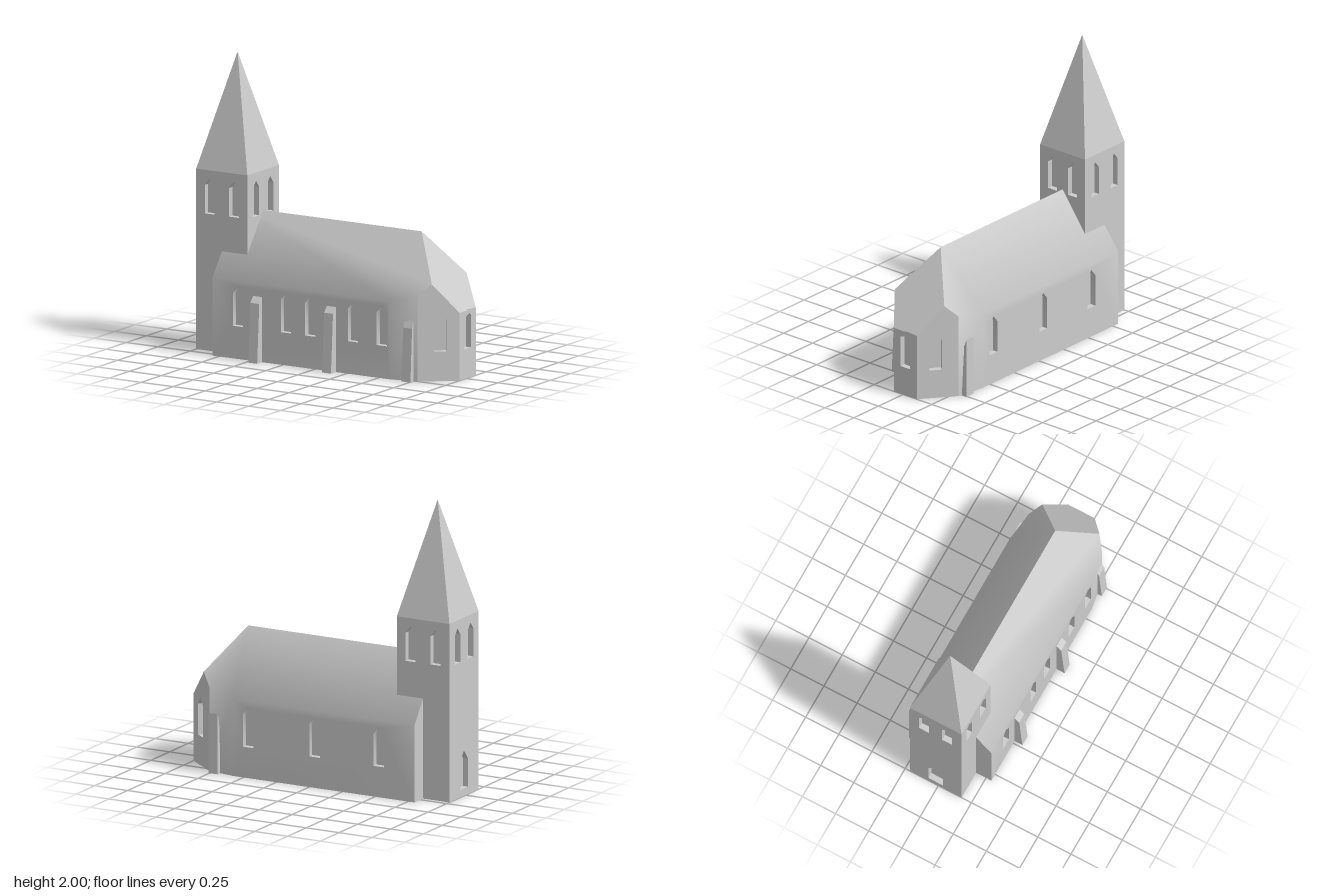
import * as THREE from 'three';
import { mergeGeometries, toCreasedNormals } from 'three/addons/utils/BufferGeometryUtils.js';

const stone = new THREE.MeshStandardMaterial({ color: 0xcccccc });
stone.name = 'pale grey stone';

const RIDGE = 0.95, PITCH = 1.365, HIP_X = 0.64, DEPTH = 0.04;
const roofY = (x, z) => RIDGE - PITCH * Math.max(Math.abs(z), x - HIP_X);

// Convex polygon from [x, y, z] corners, counter-clockwise from outside
function face(points) {
  const pos = [];
  for (let i = 1; i < points.length - 1; i++) pos.push(...points[0], ...points[i], ...points[i + 1]);
  const g = new THREE.BufferGeometry();
  g.setAttribute('position', new THREE.Float32BufferAttribute(pos, 3));
  return g;
}

// Flat panel from a shape, positions only
function panel(shape) {
  const g = new THREE.ShapeGeometry(shape).toNonIndexed();
  g.deleteAttribute('uv');
  g.deleteAttribute('normal');
  return g;
}

// Upright wall from a to b ([x, z]); windows are [centre along wall, sill, width, height]
function wall(a, b, topY, windows = [], peak = null) {
  const len = Math.hypot(b[0] - a[0], b[1] - a[1]);
  const outline = [[0, 0], [len, 0], [len, topY(...b)]];
  if (peak !== null) {
    const p = a.map((v, i) => v + (b[i] - v) * peak);
    outline.push([len * peak, topY(...p)]);
  }
  outline.push([0, topY(...a)]);
  const toShape = pts => new THREE.Shape(pts.map(p => new THREE.Vector2(...p)));
  const shape = toShape(outline);
  const parts = [];
  for (const [u, y, w, h] of windows) {
    const s = w / 2, spring = y + h - w * 0.62;
    const pts = [[u - s, y], [u + s, y], [u + s, spring], [u, y + h], [u - s, spring]];
    shape.holes.push(toShape(pts));
    // Recessed pane and reveals
    parts.push(panel(toShape(pts)).translate(0, 0, -DEPTH));
    pts.forEach((p, i) => {
      const q = pts[(i + 1) % pts.length];
      parts.push(face([[...p, 0], [...q, 0], [...q, -DEPTH], [...p, -DEPTH]]));
    });
  }
  parts.unshift(panel(shape));
  const dir = new THREE.Vector3((b[0] - a[0]) / len, 0, (b[1] - a[1]) / len);
  const up = new THREE.Vector3(0, 1, 0);
  const m = new THREE.Matrix4().makeBasis(dir, up, dir.clone().cross(up)).setPosition(a[0], 0, a[1]);
  return mergeGeometries(parts).applyMatrix4(m);
}

function mesh(name, geometries, crease = 0.1) {
  const g = mergeGeometries(geometries);
  const arr = g.attributes.position.array;
  for (let i = 0; i < arr.length; i++) arr[i] = Math.round(arr[i] * 1e4) / 1e4;
  const m = new THREE.Mesh(toCreasedNormals(g, crease), stone);
  m.name = name;
  return m;
}

function buttress(name, x, profile, z = 0) {
  const g = new THREE.ExtrudeGeometry(new THREE.Shape(profile.map(p => new THREE.Vector2(...p))),
    { depth: 0.07, bevelEnabled: false });
  g.rotateY(-Math.PI / 2).translate(x + 0.035, 0, z);
  const m = new THREE.Mesh(g, stone);
  m.name = name;
  return m;
}

export function createModel() {
  const church = new THREE.Group();
  church.name = 'church';
  const body = new THREE.Group();
  body.name = 'churchBody';
  body.position.z = -0.02;
  church.add(body);

  // Nave and apse footprint, front half, west to east
  const front = [[-0.8, 0.31], [0.58, 0.31], [0.78, 0.275], [1, 0.1]];
  const back = front.map(([x, z]) => [x, -z]);
  const cut = 0.3418;
  const peak = [0.78 + 0.22 * cut, 0.275 - 0.175 * cut];
  const onRoof = pts => face(pts.map(([x, z]) => [x, roofY(x, z), z]));
  const roofSide = [[-0.8, 0], ...front.slice(0, 3), peak, [HIP_X, 0]];
  const mirror = pts => pts.map(([x, z]) => [x, -z]).reverse();

  // Long walls flow softly into the roof slopes
  const frontWindows = [-0.6, -0.225, -0.035, 0.3, 0.525].map(x => [x + 0.8, 0.22, 0.08, 0.27]);
  const backWindows = [-0.53, -0.04, 0.465].map(x => [0.58 - x, 0.21, 0.08, 0.27]);
  body.add(mesh('naveWallsAndRoof', [
    wall(front[0], front[1], roofY, frontWindows),
    wall(front[1], front[2], roofY),
    wall(back[2], back[1], roofY),
    wall(back[1], back[0], roofY, backWindows),
    onRoof(roofSide),
    onRoof(mirror(roofSide)),
  ], 0.7));

  // Apse: two gabled diagonal walls, end wall and hipped roof
  const lancet = u => [[u, 0.2, 0.085, 0.265]];
  const diagonal = Math.hypot(0.22, 0.175);
  body.add(mesh('apseWalls', [
    wall(front[2], front[3], roofY, lancet(0.153), cut),
    wall(front[3], back[3], roofY, lancet(0.1)),
    wall(back[3], back[2], roofY, lancet(diagonal - 0.153), 1 - cut),
  ]));
  body.add(mesh('apseRoof', [
    onRoof([[HIP_X, 0], peak, front[3], back[3], [peak[0], -peak[1]]]),
  ]));
  body.add(mesh('westGable', [wall(back[0], front[0], roofY, [], 0.5)]));
  body.add(mesh('naveFloor', [face([...back, ...front.slice().reverse()].map(([x, z]) => [x, 0, z]))]));

  // Tower with paired belfry openings on every side and a west door niche
  const top = 1.22, hz = 0.195;
  const corners = [[-1, hz], [-0.6, hz], [-0.6, -hz], [-1, -hz]];
  const towerWalls = [], spire = [];
  corners.forEach((a, i) => {
    const b = corners[(i + 1) % 4];
    const mid = i % 2 ? hz : 0.2, gap = i % 2 ? 0.087 : 0.095;
    const openings = [mid - gap, mid + gap].map(u => [u, 0.925, 0.076, 0.24]);
    if (i === 3) openings.push([mid, 0.05, 0.11, 0.26]);
    towerWalls.push(wall(a, b, () => top, openings));
    spire.push(face([[a[0], top, a[1]], [b[0], top, b[1]], [-0.8, 2, 0]]));
  });
  body.add(mesh('towerWalls', towerWalls));
  body.add(mesh('spire', spire));
  body.add(mesh('towerFloor', [face(corners.slice().reverse().map(([x, z]) => [x, 0, z]))]));

  // Buttresses
  const tall = [[0.27, 0], [0.37, 0], [0.345, 0.4], [0.31, 0.44], [0.27, 0.44]];
  const short = [[0.285, 0], [0.325, 0], [0.305, 0.36], [0.285, 0.41]];
  body.add(buttress('frontButtressWest', -0.447, tall));
  body.add(buttress('frontButtressMiddle', 0.13, tall));
  body.add(buttress('frontButtressEast', 0.723, short));
  body.add(buttress('backButtress', 0.723, short, -0.61));
  return church;
}
